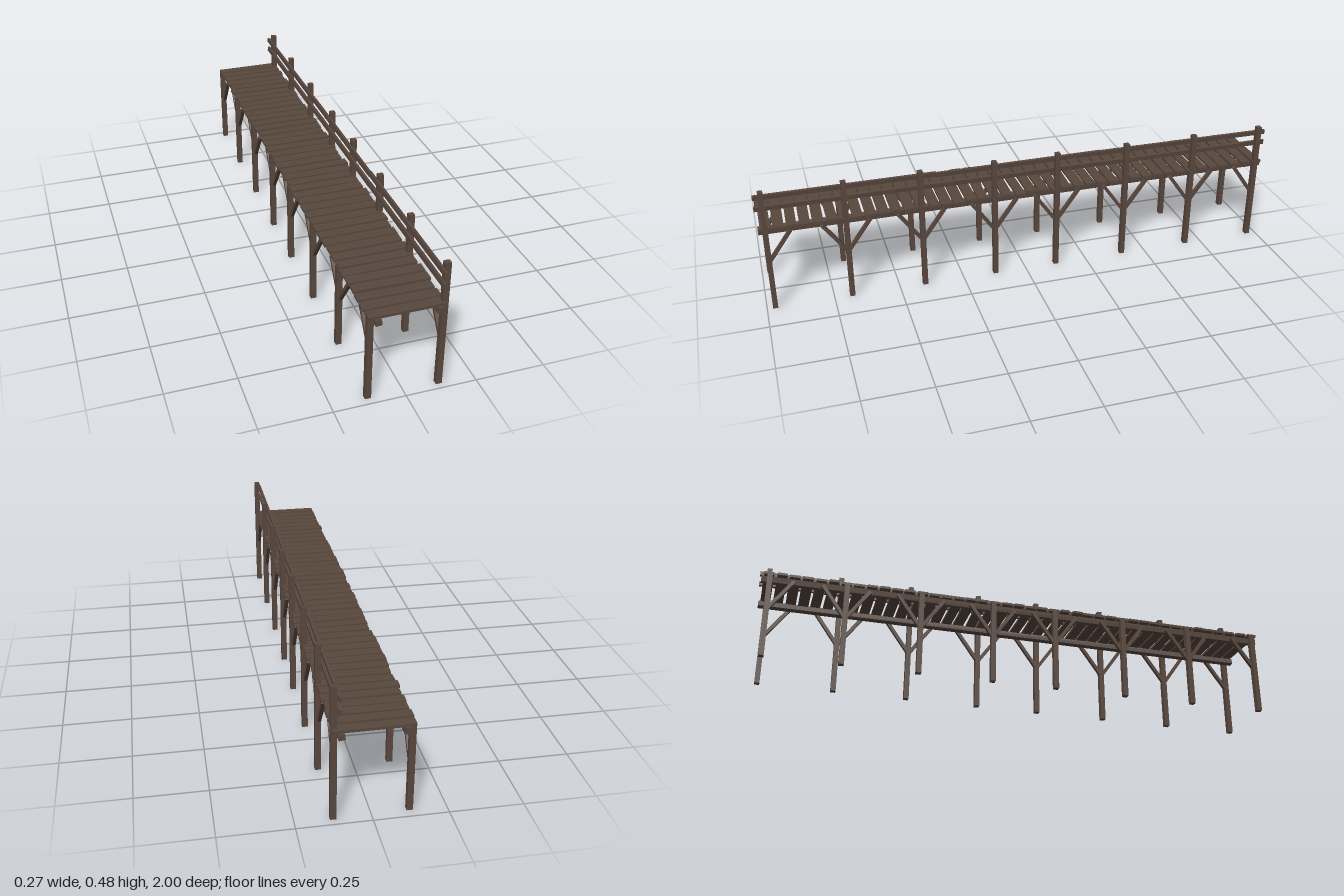
import * as THREE from 'three';

export function createModel() {
  const model = new THREE.Group();
  model.name = 'boardwalk';
  const wood = new THREE.MeshStandardMaterial({ color: 0x59483e });
  wood.name = 'weathered wood';

  // small seeded jitter in -1..1
  let seed = 7;
  const jitter = () => {
    seed = (seed * 16807) % 2147483647;
    return (seed / 2147483647) * 2 - 1;
  };

  // rectangular timber whose length (local z) runs from a to b
  function timber(name, a, b, width, height) {
    const from = new THREE.Vector3(...a), to = new THREE.Vector3(...b);
    const mesh = new THREE.Mesh(new THREE.BoxGeometry(width, height, from.distanceTo(to)), wood);
    mesh.name = name;
    mesh.position.copy(from).add(to).multiplyScalar(0.5);
    mesh.lookAt(to);
    model.add(mesh);
    return mesh;
  }

  function box(name, w, h, d, x, y, z) {
    const mesh = new THREE.Mesh(new THREE.BoxGeometry(w, h, d), wood);
    mesh.name = name;
    mesh.position.set(x, y, z);
    model.add(mesh);
    return mesh;
  }

  // posts, tall on the railed side, with diagonal braces under the deck
  const postZ = [0.97, 0.682, 0.402, 0.122, -0.125, -0.405, -0.685, -0.965];
  postZ.forEach((z, i) => {
    for (const side of [-1, 1]) {
      const bottom = side > 0 ? 0 : 0.005;
      const top = side > 0 ? 0.483 : 0.328;
      const x = side * 0.125;
      const post = box(side > 0 ? 'railPost' : 'shortPost', 0.021, top - bottom, 0.019, x, (top + bottom) / 2, z);
      post.rotation.x = jitter() * 0.004;
      for (const dir of [-1, 1]) {
        if ((i === 0 && dir > 0) || (i === postZ.length - 1 && dir < 0)) continue;
        timber('brace', [side * 0.121, 0.195, z + dir * 0.003], [side * 0.121, 0.314, z + dir * 0.088], 0.013, 0.013);
      }
    }
  });

  // long beams carrying the planks
  for (const side of [-1, 1]) {
    const beam = box('deckBeam', 0.022, 0.022, 1.99, side * 0.104, 0.317, 0);
    beam.rotation.z = side * -0.12;
  }

  // slightly uneven planks
  const count = 42, pitch = 1.985 / count;
  for (let i = 0; i < count; i++) {
    const z = -0.9925 + pitch * (i + 0.5);
    const edge = i === 0 || i === count - 1;
    const plank = box('plank', 0.264 + jitter() * 0.004, 0.0095, 0.038 + jitter() * 0.002,
      -0.002 + jitter() * 0.004, 0.332 + jitter() * 0.0008, z);
    plank.rotation.y = jitter() * (edge ? 0.008 : 0.022);
  }

  // two rails on the inner face of the tall posts, in lapped lengths
  const joints = [1, 0.34, -0.3, -1];
  for (const y of [0.409, 0.453]) {
    for (let i = 0; i < 3; i++) {
      const z0 = joints[i], z1 = joints[i + 1];
      const rail = timber('rail', [0.11, y + jitter() * 0.002, z0], [0.11, y + jitter() * 0.002, z1], 0.01, 0.018);
      rail.rotateZ(0.12);
    }
  }
  return model;
}
